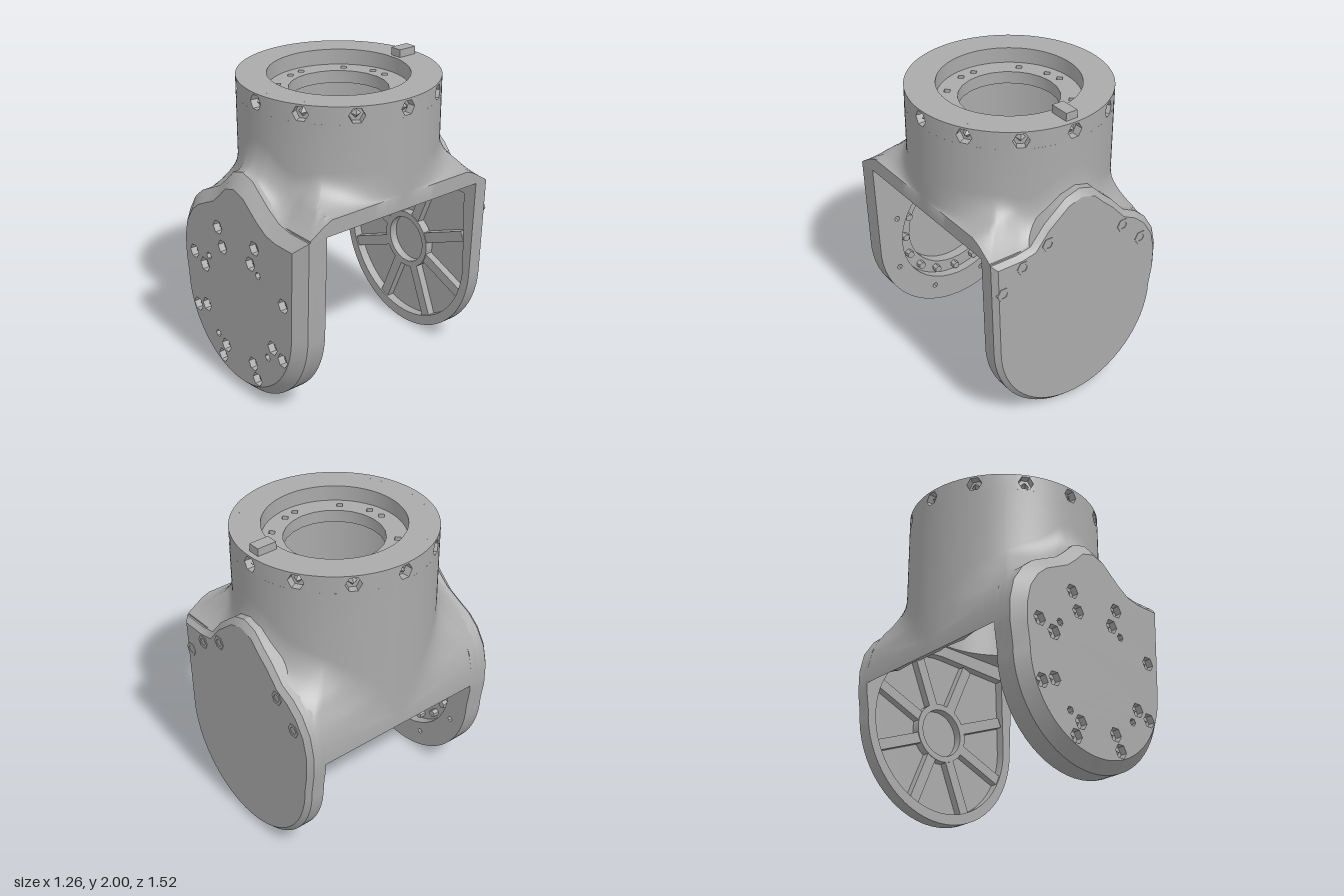
import * as THREE from 'three';
import { toCreasedNormals } from 'three/addons/utils/BufferGeometryUtils.js';

const CZ = -0.045; // z of the collar axis
const JY = 0.62; // height of the joint axis
const R = 0.63; // collar radius
const BORE = 0.58;

// Shoulder line of the arm plates
const TOP = [[-0.63, 0.9], [-0.6, 1.03], [-0.53, 1.14], [-0.45, 1.21], [-0.35, 1.26], [-0.25, 1.31], [-0.17, 1.38],
  [-0.1, 1.45], [0, 1.48], [0.1, 1.45], [0.25, 1.33], [0.35, 1.27], [0.45, 1.25], [0.63, 1.25]];

const clamp01 = (v) => Math.min(1, Math.max(0, v));

function shoulder(x) {
  for (let i = 1; i < TOP.length; i++) {
    const [x0, y0] = TOP[i - 1], [x1, y1] = TOP[i];
    if (x <= x1) return y0 + (y1 - y0) * Math.max(0, (x - x0) / (x1 - x0));
  }
  return 1.25;
}

// Clearance surface under the body: flat on the open side, round on the closed side
const under = (x) => (x > 0 ? 1.25 : Math.min(1.25, JY + 0.005 + Math.sqrt(Math.max(0.028, 0.39 - x * x))));

function ngon(x, y, r, n) {
  const pts = [];
  for (let i = 0; i < n; i++) {
    const a = (i / n) * Math.PI * 2;
    pts.push(new THREE.Vector2(x + r * Math.cos(a), y + r * Math.sin(a)));
  }
  return new THREE.Path(pts);
}

// Arm outline, scaled by k about the joint
function armShape(holes = [], peak = 0, k = 1) {
  const pts = TOP.map(([x, y]) => new THREE.Vector2(x, y > 1.3 ? y + peak : y)).reverse();
  pts.push(new THREE.Vector2(-0.63, 0.75));
  for (let i = 0; i <= 32; i++) {
    const a = Math.PI + (i / 32) * Math.PI;
    pts.push(new THREE.Vector2(0.61 * Math.cos(a), JY + 0.62 * Math.sin(a)));
  }
  const s = new THREE.Shape(pts.map((p) => new THREE.Vector2(p.x * k, 0.64 + (p.y - 0.64) * k)));
  s.holes.push(...holes);
  return s;
}

const extrude = (shape, depth, z = 0) =>
  new THREE.ExtrudeGeometry(shape, { depth, bevelEnabled: false, curveSegments: 24 }).translate(0, 0, z);

// Chamfer: spread the rim vertices at one depth back to full size, leaving hole edges alone
function chamfer(geo, z, k, holes = []) {
  const p = geo.attributes.position;
  for (let i = 0; i < p.count; i++) {
    const x = p.getX(i), y = p.getY(i);
    if (Math.abs(p.getZ(i) - z) > 1e-4) continue;
    if (holes.some(([hx, hy, r]) => Math.hypot(x - hx, y - hy) < r + 0.001)) continue;
    p.setXY(i, x / k, 0.64 + (y - 0.64) / k);
  }
  return geo;
}

// Body: one closed profile swept round the collar axis, square at the shoulders and round at the top
function bodyGeometry() {
  const front = 0.68 - CZ, back = 0.72 + CZ;
  const angles = [];
  for (let i = 0; i < 120; i++) angles.push((i / 120) * Math.PI * 2);
  for (const [x, z] of [[R, front], [-R, front], [-R, -back], [R, -back]]) {
    angles.push((Math.atan2(z, x) + Math.PI * 2) % (Math.PI * 2));
  }
  angles.sort((a, b) => a - b);
  const pos = [], idx = [];
  let rows = 0;
  for (const a of angles) {
    const c = Math.cos(a), s = Math.sin(a), reach = s > 0 ? front : back;
    const edge = Math.max(R, Math.min(R / Math.max(1e-6, Math.abs(c)), reach / Math.max(1e-6, Math.abs(s))));
    const profile = [[BORE, 1.77], [BORE, under(BORE * c)]];
    for (let i = 1; i <= 4; i++) {
      const r = BORE + ((edge - BORE) * i) / 4;
      profile.push([r, under(r * c)]);
    }
    for (let i = 0; i <= 12; i++) {
      const q = ((i / 12) * Math.PI) / 2, r = edge + (R - edge) * Math.sin(q), x = r * c;
      let y = Math.max(shoulder(x) - 0.004, under(x) + 0.01);
      // lip over the open side, sloping down to the plates
      const lip = clamp01((reach - Math.abs(r * s)) / 0.14) * clamp01((x - 0.2) / 0.2);
      y += Math.max(0, 1.35 - y) * lip;
      profile.push([r, y + 0.19 * (1 - Math.cos(q))]);
    }
    profile.push([R, 1.84], [BORE, 1.84], [BORE, 1.95], [0.44, 1.95], [0.44, 1.77]);
    rows = profile.length;
    for (const [r, y] of profile) pos.push(r * c, y, CZ + r * s);
  }
  const n = angles.length;
  for (let i = 0; i < n; i++) {
    for (let j = 0; j < rows; j++) {
      const i2 = (i + 1) % n, j2 = (j + 1) % rows;
      const a = i * rows + j, b = i * rows + j2, d = i2 * rows + j, e = i2 * rows + j2;
      idx.push(a, b, d, b, e, d);
    }
  }
  const g = new THREE.BufferGeometry();
  g.setAttribute('position', new THREE.Float32BufferAttribute(pos, 3));
  g.setIndex(idx);
  return g;
}

// Piece of the top band with a screw hole, bent round the collar
function bandHoleGeometry(halfWidth) {
  const us = [-1, -0.5, 0, 0.5, 1].map((u) => u * halfWidth);
  const pts = us.map((u) => new THREE.Vector2(u, 1.84));
  for (const u of us) pts.push(new THREE.Vector2(-u, 1.95));
  const s = new THREE.Shape(pts);
  s.holes.push(ngon(0, 1.893, 0.05, 6));
  const depth = R - BORE, g = extrude(s, depth);
  const p = g.attributes.position;
  for (let i = 0; i < p.count; i++) {
    const a = p.getX(i) / R, r = BORE + p.getZ(i);
    p.setXYZ(i, r * Math.sin(a), p.getY(i), r * Math.cos(a));
  }
  return g;
}

export function createModel() {
  const model = new THREE.Group();
  model.name = 'jointBracket';
  const grey = new THREE.MeshStandardMaterial({ color: 0xaaaaaa });
  grey.name = 'castGrey';
  const add = (name, geo, parent = model, crease = 0.5) => {
    const m = new THREE.Mesh(toCreasedNormals(geo, crease), grey);
    m.name = name;
    parent.add(m);
    return m;
  };
  const group = (name) => {
    const g = new THREE.Group();
    g.name = name;
    model.add(g);
    return g;
  };

  // Collar and shoulders
  add('body', bodyGeometry(), model, 0.6);
  const band = group('collarBand');
  band.position.z = CZ;
  const halfWidth = 0.06, from = halfWidth / R;
  const holePiece = bandHoleGeometry(halfWidth);
  const plainPiece = new THREE.LatheGeometry([[R, 1.84], [R, 1.95], [BORE, 1.95]].map(([r, y]) => new THREE.Vector2(r, y)),
    4, from, Math.PI / 6 - 2 * from);
  const tip = new THREE.ConeGeometry(0.036, 0.05, 4).rotateX(Math.PI / 2).translate(0, 1.893, 0.595);
  for (let i = 0; i < 12; i++) {
    for (const [name, geo] of [['bandHole', holePiece], ['bandPiece', plainPiece], ['bandScrew', tip]]) {
      add(name, geo, band).rotation.y = (i * Math.PI) / 6;
    }
  }
  add('key', new THREE.BoxGeometry(0.08, 0.08, 0.13).translate(0, 1.96, -0.575));
  add('boreBlock', new THREE.BoxGeometry(0.2, 0.14, 0.1).translate(0, 1.36, 0.5));

  // Mounting ledge inside the collar
  const ledge = new THREE.Shape().absarc(0, 0, 0.445, 0, Math.PI * 2);
  ledge.holes.push(ngon(0, 0, 0.31, 24));
  for (const [x, z] of [[-0.1, -0.41], [0, -0.42], [0.27, -0.31], [-0.27, -0.31], [0.36, -0.14], [0.38, -0.05],
    [-0.38, -0.05], [-0.36, 0.05], [-0.27, 0.22], [0.27, 0.22], [0, 0.33], [0.1, 0.32]]) {
    ledge.holes.push(ngon(x, -(z - CZ), 0.026, 4));
  }
  add('mountingLedge', extrude(ledge, 0.08).rotateX(-Math.PI / 2).translate(0, 1.77, CZ));

  // Front arm: flange, stepped pocket and chamfered cover
  const frontArm = group('frontArm');
  const flangeHoles = [ngon(0, JY, 0.44, 40)];
  for (let i = 0; i < 8; i++) {
    const a = ((i + 0.5) * Math.PI) / 4;
    flangeHoles.push(ngon(0.51 * Math.cos(a), JY + 0.51 * Math.sin(a), 0.02, 6));
  }
  add('flange', extrude(armShape(flangeHoles), 0.06, 0.56), frontArm);
  add('pocketStep', extrude(armShape([ngon(0, JY, 0.35, 40)]), 0.07, 0.62), frontArm);
  const screws = [[0.22, 0.9, 0.025], [-0.3, 0.83, 0.025], [-0.23, 0.3, 0.025], [0.3, 0.37, 0.025], [-0.35, 0.75, 0.05]];
  for (const [x, y] of [[0.19, 1.07], [0.145, 0.95], [0.465, 0.8], [0.35, 0.46], [0.45, 0.42], [0.145, 0.25], [0.185, 0.157]]) {
    screws.push([x, y, 0.047]);
    screws.push([-x, y, 0.047]);
  }
  const cover = extrude(armShape(screws.map(([x, y, r]) => ngon(x, y, r, 6)), 0, 0.89), 0.07, 0.69);
  add('cover', chamfer(cover, 0.69, 0.89, screws), frontArm);
  for (const [x, y, r] of screws) {
    const head = new THREE.Shape(ngon(x, y, r, 6).getPoints());
    add('screwSeat', extrude(head, 0.025, 0.691), frontArm);
    if (r > 0.03) add('screwHead', new THREE.ConeGeometry(r * 0.6, 0.03, 3).rotateX(Math.PI / 2).translate(x, y, 0.73), frontArm);
  }
  for (let i = 0; i < 16; i++) {
    const a = (i * Math.PI) / 8;
    add('pocketScrew', new THREE.CylinderGeometry(0.026, 0.026, 0.04, 6).rotateX(Math.PI / 2)
      .translate(0.395 * Math.cos(a), JY + 0.395 * Math.sin(a), 0.6), frontArm);
  }

  // Back arm: smooth outside, ribbed inside
  const backArm = group('backArm');
  add('outerFace', chamfer(extrude(armShape([], 0.06, 0.95), 0.03, -0.76), -0.73, 0.95), backArm);
  add('web', extrude(armShape([], 0.06), 0.03, -0.73), backArm);
  const pocket = new THREE.Path();
  pocket.moveTo(0.53, 1.15);
  pocket.lineTo(0, JY + 0.55);
  pocket.absarc(0, JY, 0.55, Math.PI / 2, Math.PI * 2, false);
  add('rim', extrude(armShape([pocket], 0.06), 0.06, -0.7), backArm);
  const hub = new THREE.Shape().absarc(0, JY, 0.2, 0, Math.PI * 2);
  hub.holes.push(ngon(0, JY, 0.16, 32));
  add('hub', extrude(hub, 0.055, -0.7), backArm);
  for (let i = 0; i < 8; i++) {
    const a = ((i + 0.5) * Math.PI) / 4;
    add('rib', new THREE.BoxGeometry(0.38, 0.07, 0.05).translate(0.375, 0, 0).rotateZ(a).translate(0, JY, -0.675), backArm);
  }
  for (const [x, y] of [[0.56, 1.04], [0.42, 1.17], [0.24, 1.26], [-0.33, 1.17], [-0.48, 1.02]]) {
    const ring = new THREE.Shape(ngon(x, y, 0.046, 6).getPoints());
    ring.holes.push(ngon(x, y, 0.026, 6));
    add('backScrew', extrude(ring, 0.03, -0.764), backArm);
  }
  return model;
}
